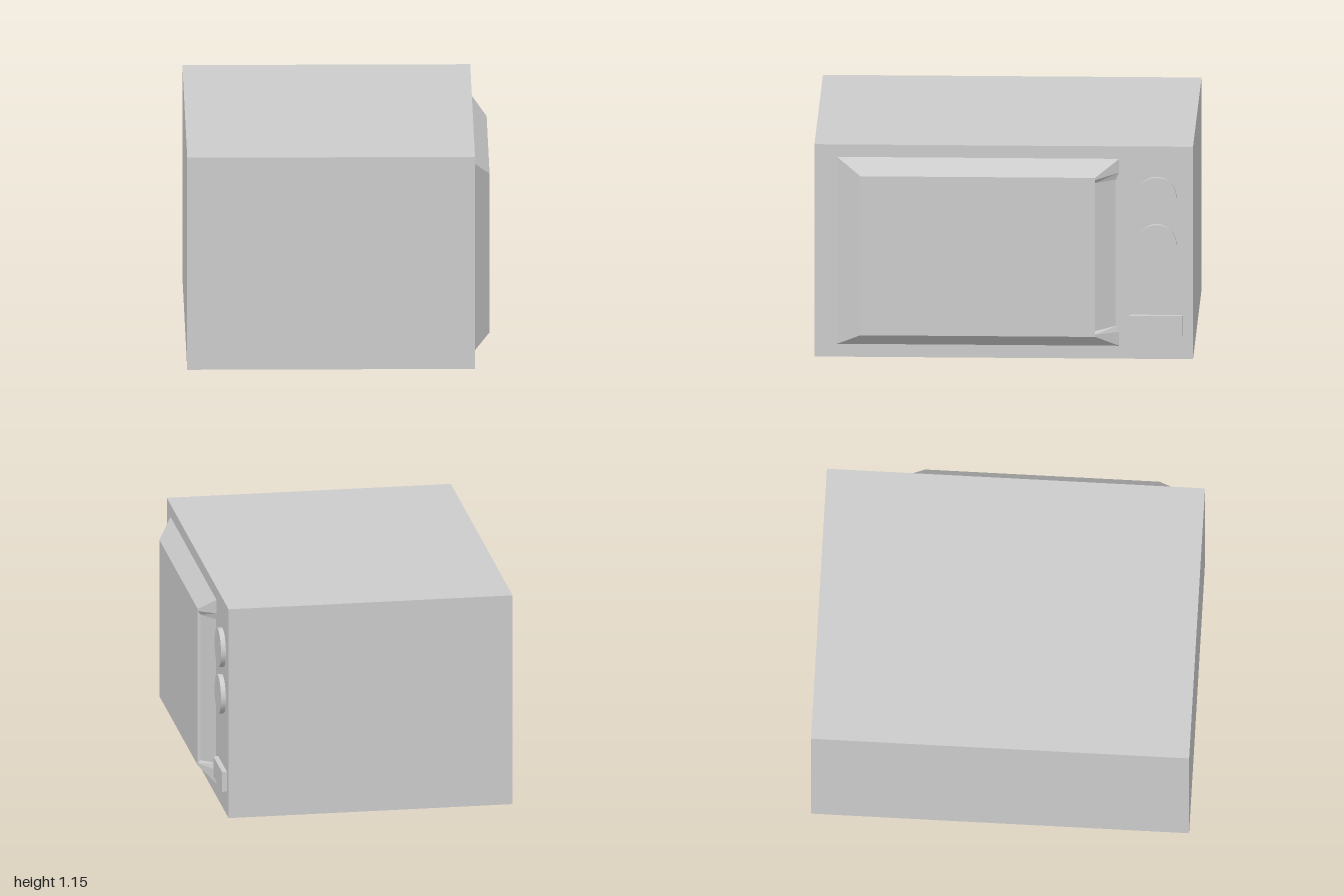
import * as THREE from 'three';

const FACE = 0.72; // x of the control side of the body
const material = new THREE.MeshStandardMaterial({ color: 0xcccccc });

function part(name, geometry, x, y, z) {
  const mesh = new THREE.Mesh(geometry, material);
  mesh.name = name;
  mesh.position.set(x, y, z);
  return mesh;
}

// Flat-shaded surface from four-cornered faces, counter-clockwise from outside
function quadGeometry(quads) {
  const points = quads.flatMap(([a, b, c, d]) => [a, b, c, a, c, d]);
  const geometry = new THREE.BufferGeometry();
  geometry.setAttribute('position', new THREE.Float32BufferAttribute(points.flat(), 3));
  geometry.computeVertexNormals();
  return geometry;
}

// Bevelled door with a shallow grip recess in its bevel next to the controls
function doorGeometry() {
  // Rings of corners: lower hinge, lower grip, upper grip, upper hinge
  const ring = (x, z0, z1, y0, y1) => [[x, y0, z0], [x, y0, z1], [x, y1, z1], [x, y1, z0]];
  const outer = ring(FACE, 0.88, -0.61, 0.07, 1.087);
  const inner = ring(0.8, 0.755, -0.485, 0.137, 1.002);
  const bevel = (i, j) => [outer[i], outer[j], inner[j], inner[i]];

  // Recess opening and floor: lower front, lower back, upper back, upper front
  const rim = [[0.8, 0.15, -0.485], [FACE, 0.145, -0.61], [FACE, 1.012, -0.61], [0.8, 0.99, -0.485]];
  const floor = [[0.784, 0.165, -0.485], [0.712, 0.18, -0.605], [0.712, 0.975, -0.605], [0.784, 0.97, -0.485]];
  const wall = (i, j) => [rim[i], rim[j], floor[j], floor[i]];

  return quadGeometry([
    inner, bevel(0, 1), bevel(2, 3), bevel(3, 0),
    [inner[1], outer[1], rim[1], rim[0]], // bevel below the recess
    [rim[3], rim[2], outer[2], inner[2]], // bevel above the recess
    floor, wall(0, 1), wall(2, 3), wall(3, 0),
  ]);
}

export function createModel() {
  const model = new THREE.Group();
  model.name = 'microwaveOven';

  model.add(part('body', new THREE.BoxGeometry(1.52, 1.155, 2), -0.04, 0.5775, 0));
  model.add(part('door', doorGeometry(), 0, 0, 0));

  // Two dials above a push button
  const dial = new THREE.CylinderGeometry(0.104, 0.104, 0.035, 48).rotateZ(-Math.PI / 2);
  [['upperDial', 0.887], ['lowerDial', 0.63]].forEach(([name, y]) =>
    model.add(part(name, dial, FACE + 0.0085, y, -0.808)));
  model.add(part('openButton', new THREE.BoxGeometry(0.035, 0.11, 0.28), FACE + 0.0085, 0.185, -0.806));

  return model;
}
